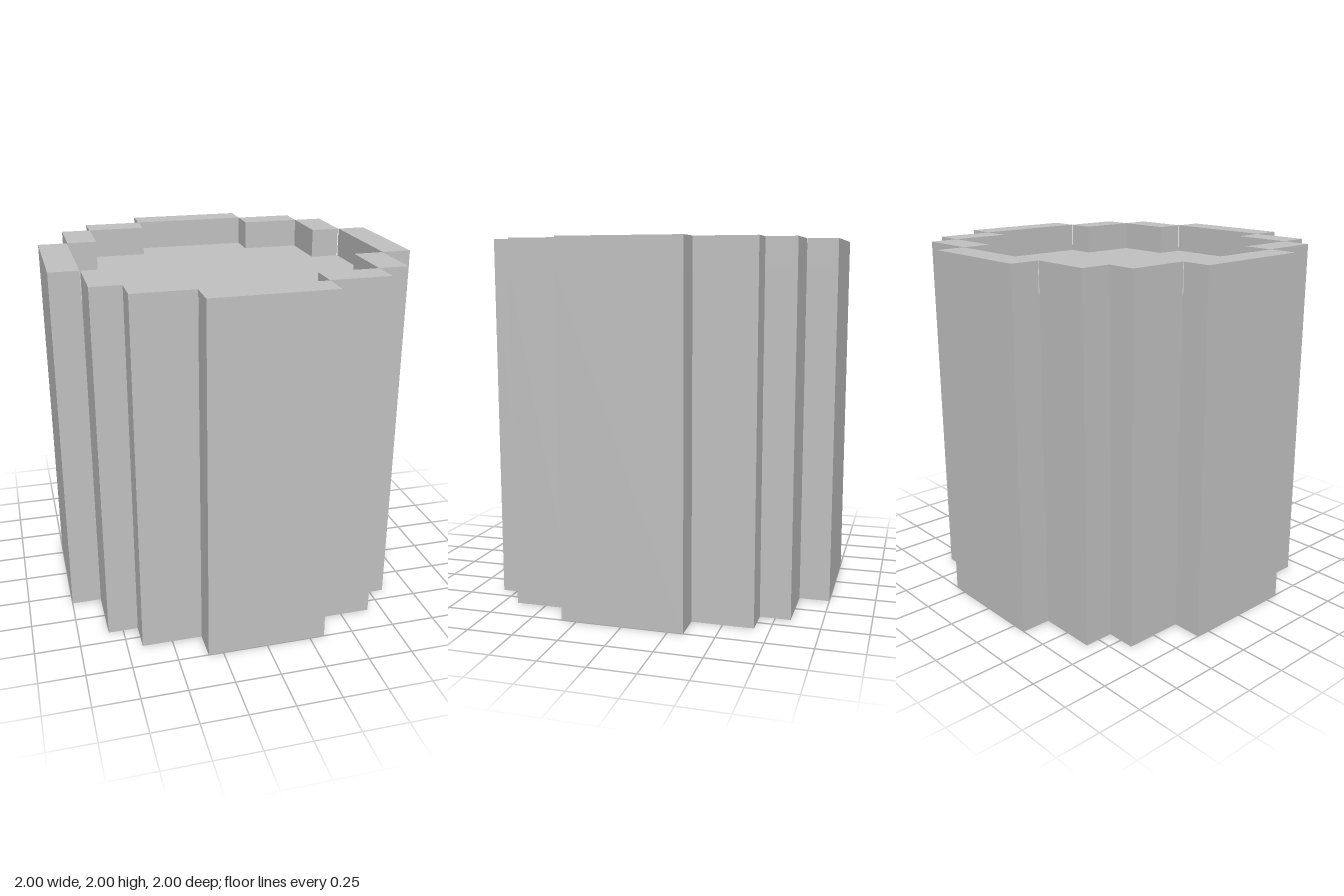
import * as THREE from 'three';

const HEIGHT = 2, FLOOR = 1.833;
const A = 0.333, B = 0.667, C = 0.833;

// One quarter of the stepped plan, as [x, y] corners running counter-clockwise
const QUARTER = [[1, -A], [1, A], [C, A], [C, B], [B, B], [B, C], [A, C]];

// Rim blocks of one quarter: [x0, x1, z0, z1]
const RIM = [
  ['sideRim', 0.837, 1, -A, A],
  ['outerCornerRim', B, C, A, B],
  ['innerCornerRim', A, B, B, C],
];

export function createModel() {
  const group = new THREE.Group();
  group.name = 'steppedColumn';
  const grey = new THREE.MeshStandardMaterial({ color: 0xc0c0c0 });
  grey.name = 'light grey';

  // Solid body up to the sunken top
  const points = [];
  for (let i = 0; i < 4; i++) {
    const c = Math.round(Math.cos(i * Math.PI / 2)), s = Math.round(Math.sin(i * Math.PI / 2));
    for (const [x, y] of QUARTER) points.push(new THREE.Vector2(x * c - y * s, x * s + y * c));
  }
  const bodyGeometry = new THREE.ExtrudeGeometry(new THREE.Shape(points), { depth: FLOOR, bevelEnabled: false });
  bodyGeometry.rotateX(-Math.PI / 2);
  const body = new THREE.Mesh(bodyGeometry, grey);
  body.name = 'body';
  group.add(body);

  // Raised rim, repeated by quarter turns
  const rim = new THREE.Group();
  rim.name = 'rim';
  for (let i = 0; i < 4; i++) {
    const quarter = new THREE.Group();
    quarter.name = 'rimQuarter';
    quarter.rotation.y = i * Math.PI / 2;
    for (const [name, x0, x1, z0, z1] of RIM) {
      const block = new THREE.Mesh(new THREE.BoxGeometry(x1 - x0, HEIGHT - FLOOR, z1 - z0), grey);
      block.position.set((x0 + x1) / 2, (HEIGHT + FLOOR) / 2, (z0 + z1) / 2);
      block.name = name;
      quarter.add(block);
    }
    rim.add(quarter);
  }
  group.add(rim);
  return group;
}
